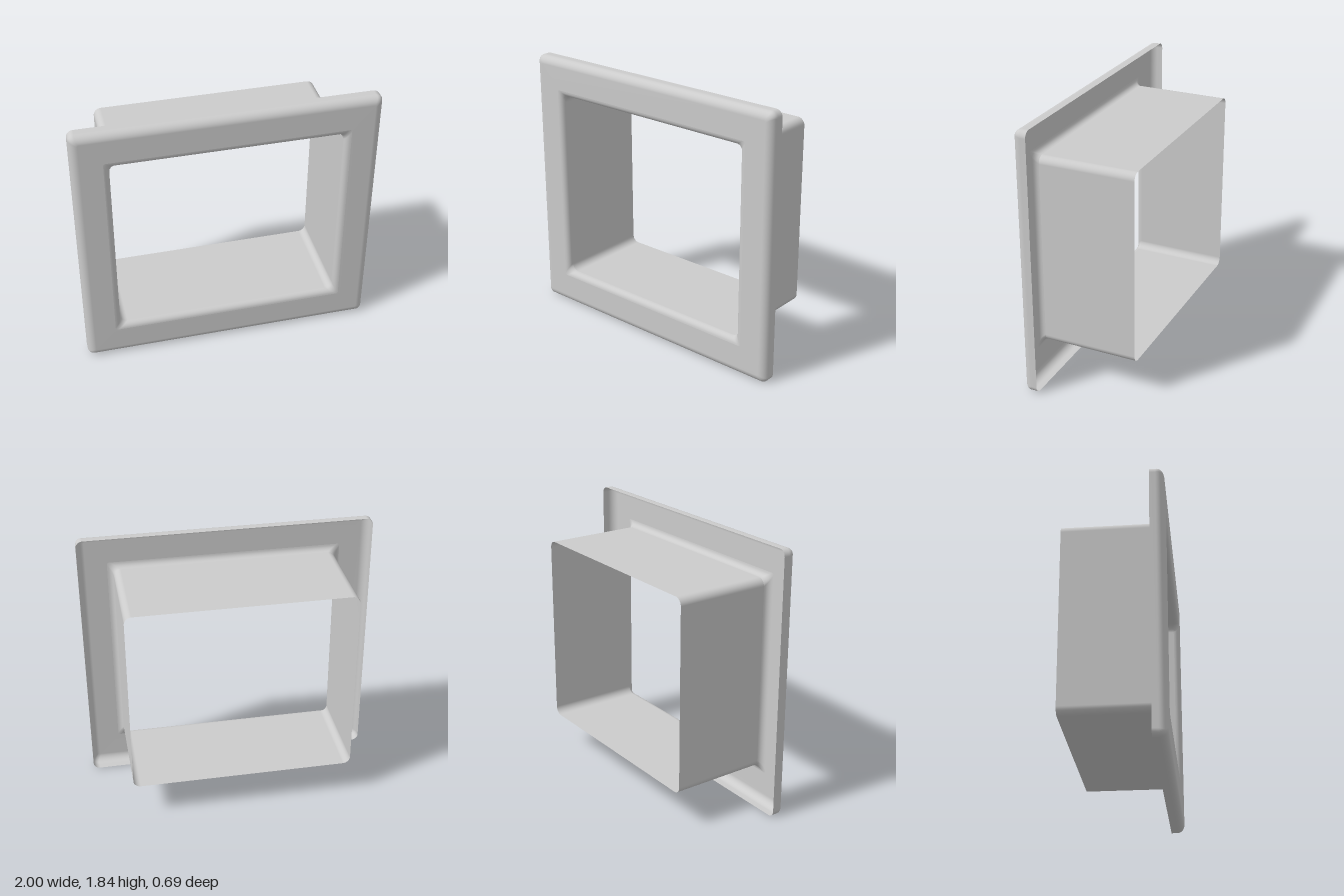
import * as THREE from 'three';

const CENTER_Y = 0.9175;
const CORNER_STEPS = 8;

// Rounded rectangle outline, counter-clockwise seen from the front
function ring({ w, h, r, z }) {
  const points = [];
  for (let q = 0; q < 4; q++) {
    const sx = q === 0 || q === 3 ? 1 : -1;
    const sy = q < 2 ? 1 : -1;
    for (let k = 0; k <= CORNER_STEPS; k++) {
      const a = (q + k / CORNER_STEPS) * Math.PI / 2;
      points.push(sx * (w - r) + r * Math.cos(a), CENTER_Y + sy * (h - r) + r * Math.sin(a), z);
    }
  }
  return points;
}

// Skin a list of outlines into one open sheet
function loft(sections) {
  const n = 4 * (CORNER_STEPS + 1);
  const index = [];
  for (let i = 0; i < sections.length - 1; i++) {
    for (let j = 0; j < n; j++) {
      const a = i * n + j, b = i * n + (j + 1) % n;
      index.push(a, a + n, b, b, a + n, b + n);
    }
  }
  const geometry = new THREE.BufferGeometry();
  geometry.setAttribute('position', new THREE.Float32BufferAttribute(sections.flatMap(ring), 3));
  geometry.setIndex(index);
  geometry.computeVertexNormals();
  return geometry;
}

// Quarter-round transition: t runs 0..1 through 90 degrees
function fillet(steps, section) {
  return Array.from({ length: steps + 1 }, (_, i) => section(i / steps * Math.PI / 2, i / steps));
}

export function createModel() {
  const group = new THREE.Group();
  const material = new THREE.MeshStandardMaterial({ color: 0xcccccc, side: THREE.DoubleSide });
  const add = (name, sections) => {
    const mesh = new THREE.Mesh(loft(sections), material);
    mesh.name = name;
    group.add(mesh);
  };

  const back = -0.345, front = 0.345, rimBack = 0.25;
  const inner = { w: 0.76, h: 0.6625 }, outer = { w: 1, h: 0.9175 };
  const lip = 0.04, edge = 0.055;

  // Thin rectangular tube, open at both ends
  add('sleeve', [
    { ...inner, r: 0.05, z: back },
    { ...inner, r: 0.05, z: front - lip },
  ]);

  // Rounded lip rolling from the sleeve to the front face
  const lipSections = fillet(6, (a, t) => {
    const d = lip * (1 - Math.cos(a));
    return { w: inner.w + d, h: inner.h + d, r: 0.05 - 0.035 * t, z: front - lip + lip * Math.sin(a) };
  });
  add('innerLip', lipSections);

  // Flat front face with a rounded edge and a short rim, hollow behind
  const edgeSections = fillet(8, (a, t) => {
    const d = edge * (1 - Math.sin(a));
    return { w: outer.w - d, h: outer.h - d, r: 0.01 + 0.035 * t, z: front - edge + edge * Math.cos(a) };
  });
  add('flange', [
    lipSections[lipSections.length - 1],
    ...edgeSections,
    { ...outer, r: 0.045, z: rimBack },
  ]);

  return group;
}
